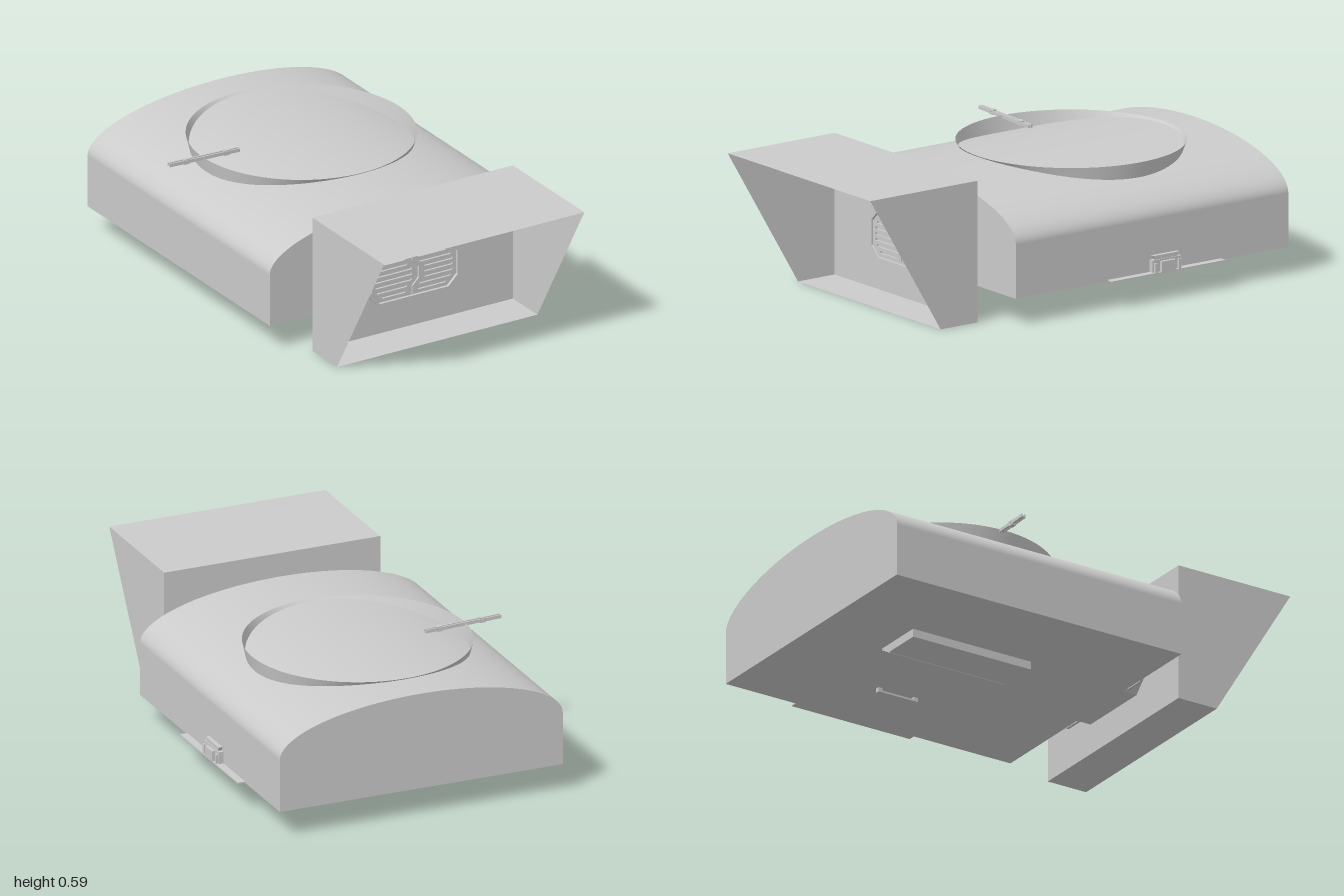
import * as THREE from 'three';

const material = new THREE.MeshStandardMaterial({ color: 0xcccccc });
const thinMaterial = new THREE.MeshStandardMaterial({ color: 0xcccccc, side: THREE.DoubleSide });
const CX = -0.02; // middle of the body

function add(parent, name, geometry, x = 0, y = 0, z = 0, mat = material) {
  const mesh = new THREE.Mesh(geometry, mat);
  mesh.name = name;
  mesh.position.set(x, y, z);
  parent.add(mesh);
  return mesh;
}

const polygon = (points) => new THREE.Shape(points.map(([x, y]) => new THREE.Vector2(x, y)));
const path = (points) => new THREE.Path(points.map(([x, y]) => new THREE.Vector2(x, y)));
const extrude = (shape, depth) =>
  new THREE.ExtrudeGeometry(shape, { depth, bevelEnabled: false, curveSegments: 40 });
const box = (x, y, z) => new THREE.BoxGeometry(x, y, z);

// Rectangle with cut corners, around the origin
function octagon(w, h, c) {
  return [[w - c, -h], [w, c - h], [w, h - c], [w - c, h],
    [c - w, h], [-w, h - c], [-w, c - h], [c - w, -h]];
}

// Height of the arched top at a distance dx from the middle
const archHeight = (dx) => 0.34 + 0.186 * Math.sqrt(Math.max(0, 1 - (dx / 0.625) ** 2));

function makeBody() {
  const shape = new THREE.Shape();
  shape.moveTo(-0.625, 0.115);
  shape.lineTo(0.625, 0.115);
  shape.lineTo(0.625, 0.34);
  shape.absellipse(0, 0.34, 0.625, 0.186, 0, Math.PI, false);
  shape.closePath();
  return extrude(shape, 1.375);
}

// Open collar whose lower edge follows the arch
function makeCollar() {
  const geometry = new THREE.CylinderGeometry(0.467, 0.454, 1, 96, 1, true);
  const p = geometry.attributes.position;
  for (let i = 0; i < p.count; i++) {
    p.setY(i, p.getY(i) > 0 ? 0.533 : archHeight(p.getX(i)) - 0.003);
  }
  geometry.computeVertexNormals();
  return geometry;
}

// Open-fronted hood made of five thin panels
function makeHood() {
  const side = [[0.59, 1], [0.59, 0.46], [0, 0.46], [0, 0.645]];
  const corner = (x, i) => [x, ...side[i]];
  const xs = [-0.495, 0.46];
  const positions = [];
  const quad = (a, b, c, d) => positions.push(...a, ...b, ...c, ...a, ...c, ...d);
  for (let i = 0; i < 3; i++) {
    quad(corner(xs[0], i), corner(xs[1], i), corner(xs[1], i + 1), corner(xs[0], i + 1));
  }
  quad(...[0, 1, 2, 3].map((i) => corner(xs[0], i)));
  quad(...[3, 2, 1, 0].map((i) => corner(xs[1], i)));
  const geometry = new THREE.BufferGeometry();
  geometry.setAttribute('position', new THREE.Float32BufferAttribute(positions, 3));
  geometry.computeVertexNormals();
  return geometry;
}

// Vent with slots on both sides of a zigzag groove
function makeVent() {
  const group = new THREE.Group();
  group.name = 'vent';
  group.position.set(CX, 0.235, 0);
  add(group, 'duct', extrude(polygon(octagon(0.213, 0.103, 0.045)), 0.09), 0, 0, 0.374);
  add(group, 'flange', extrude(polygon(octagon(0.328, 0.095, 0.06)), 0.012), 0, 0, 0.409);

  const rim = polygon(octagon(0.215, 0.105, 0.047));
  rim.holes.push(path(octagon(0.207, 0.097, 0.044)));
  add(group, 'ventRim', extrude(rim, 0.016), 0, 0, 0.46);

  const zig = (y) => -0.01 + 0.03 * THREE.MathUtils.clamp((0.055 - Math.abs(y)) / 0.03, 0, 1);
  const face = polygon(octagon(0.2, 0.09, 0.042));
  const rows = [-0.085, -0.055, -0.025, 0.025, 0.055, 0.085];
  face.holes.push(path([
    ...rows.map((y) => [zig(y) - 0.004, y]),
    ...rows.toReversed().map((y) => [zig(y) + 0.004, y]),
  ]));
  for (let i = 0; i < 7; i++) {
    const y = (i - 3) * 0.024;
    const reach = 0.183 - Math.max(0, Math.abs(y) - 0.04);
    for (const [a, b] of [[-reach, zig(y) - 0.03], [zig(y) + 0.03, reach]]) {
      face.holes.push(path([[a, y - 0.005], [b, y - 0.005], [b, y + 0.005], [a, y + 0.005]]));
    }
  }
  add(group, 'ventFace', extrude(face, 0.009), 0, 0, 0.464);
  return group;
}

// Thin twin-rail lever with two clips, lying across the collar rim
function makeLever() {
  const group = new THREE.Group();
  group.name = 'lever';
  group.position.set(-0.478, 0.528, -0.388);
  group.rotation.z = -0.035;
  for (const z of [-0.007, 0.007]) add(group, 'leverRail', box(0.335, 0.014, 0.006), 0, 0, z);
  add(group, 'leverWeb', box(0.335, 0.004, 0.012), 0, -0.003, 0);
  for (const x of [-0.085, 0.105]) {
    add(group, 'leverClip', box(0.025, 0.022, 0.018), x, 0, 0);
    add(group, 'leverPin', new THREE.CylinderGeometry(0.004, 0.004, 0.026, 10), x, 0.004, 0)
      .rotation.x = Math.PI / 2;
  }
  return group;
}

// Latch and its sheet on the side
function makeLatch() {
  const group = new THREE.Group();
  group.name = 'latch';
  add(group, 'latchSheet', box(0.1, 0.005, 0.57), 0.587, 0.1185, -0.375);
  add(group, 'latchBase', box(0.022, 0.055, 0.145), 0.614, 0.1445, -0.373);
  add(group, 'latchPad', box(0.02, 0.045, 0.07), 0.629, 0.142, -0.373);
  for (const z of [-0.433, -0.313]) add(group, 'latchCheek', box(0.03, 0.04, 0.012), 0.62, 0.14, z);
  const lip = polygon([[-0.055, 0], [0.055, 0], [0.065, 0.018], [-0.065, 0.018]]);
  add(group, 'latchLip', extrude(lip, 0.018), 0.604, 0.171, -0.373).rotation.y = Math.PI / 2;
  return group;
}

// Wedge under the body with a framed row of sockets on its slope
function makeSocketBlock() {
  const group = new THREE.Group();
  group.name = 'socketBlock';
  const wedge = polygon([[-0.25, 0.116], [-0.25, 0.08], [-0.077, 0.08], [-0.017, 0.116]]);
  add(group, 'wedge', extrude(wedge, 0.57), 0, 0, -0.66);
  const slope = new THREE.Group();
  slope.name = 'socketRow';
  slope.position.set(-0.047, 0.098, -0.375);
  slope.rotation.z = Math.atan2(0.036, 0.06);
  for (const x of [-0.03, 0.03]) add(slope, 'socketFrame', box(0.006, 0.006, 0.56), x, -0.001, 0);
  for (const z of [-0.275, 0.275]) add(slope, 'socketFrame', box(0.06, 0.006, 0.008), 0, -0.001, z);
  for (let i = 0; i < 12; i++) {
    add(slope, 'socket', new THREE.TorusGeometry(0.013, 0.003, 6, 16), 0, -0.001, (i - 5.5) * 0.043)
      .rotation.x = Math.PI / 2;
  }
  group.add(slope);
  return group;
}

// Small pull under the body
function makePull() {
  const group = new THREE.Group();
  group.name = 'bottomPull';
  add(group, 'pullBar', box(0.02, 0.008, 0.19), 0.3, 0.1, -0.375);
  for (const z of [-0.46, -0.29]) add(group, 'pullPost', box(0.02, 0.02, 0.02), 0.3, 0.106, z);
  return group;
}

export function createModel() {
  const model = new THREE.Group();
  model.name = 'model';
  // Arched body: flat-capped extrusion with smooth arch normals
  const body = makeBody();
  const p = body.attributes.position;
  const n = body.attributes.normal;
  for (let i = 0; i < p.count; i++) {
    if (Math.abs(n.getZ(i)) < 0.5 && n.getY(i) > 0.001) {
      const v = new THREE.Vector3(p.getX(i) / 0.625 ** 2, (p.getY(i) - 0.34) / 0.186 ** 2, 0).normalize();
      n.setXYZ(i, v.x, v.y, 0);
    }
  }
  add(model, 'body', body, CX, 0, -1);
  add(model, 'collar', makeCollar(), CX, 0, -0.375, thinMaterial);
  add(model, 'hood', makeHood(), 0, 0, 0, thinMaterial);
  model.add(makeVent(), makeLever(), makeLatch(), makeSocketBlock(), makePull());
  return model;
}
